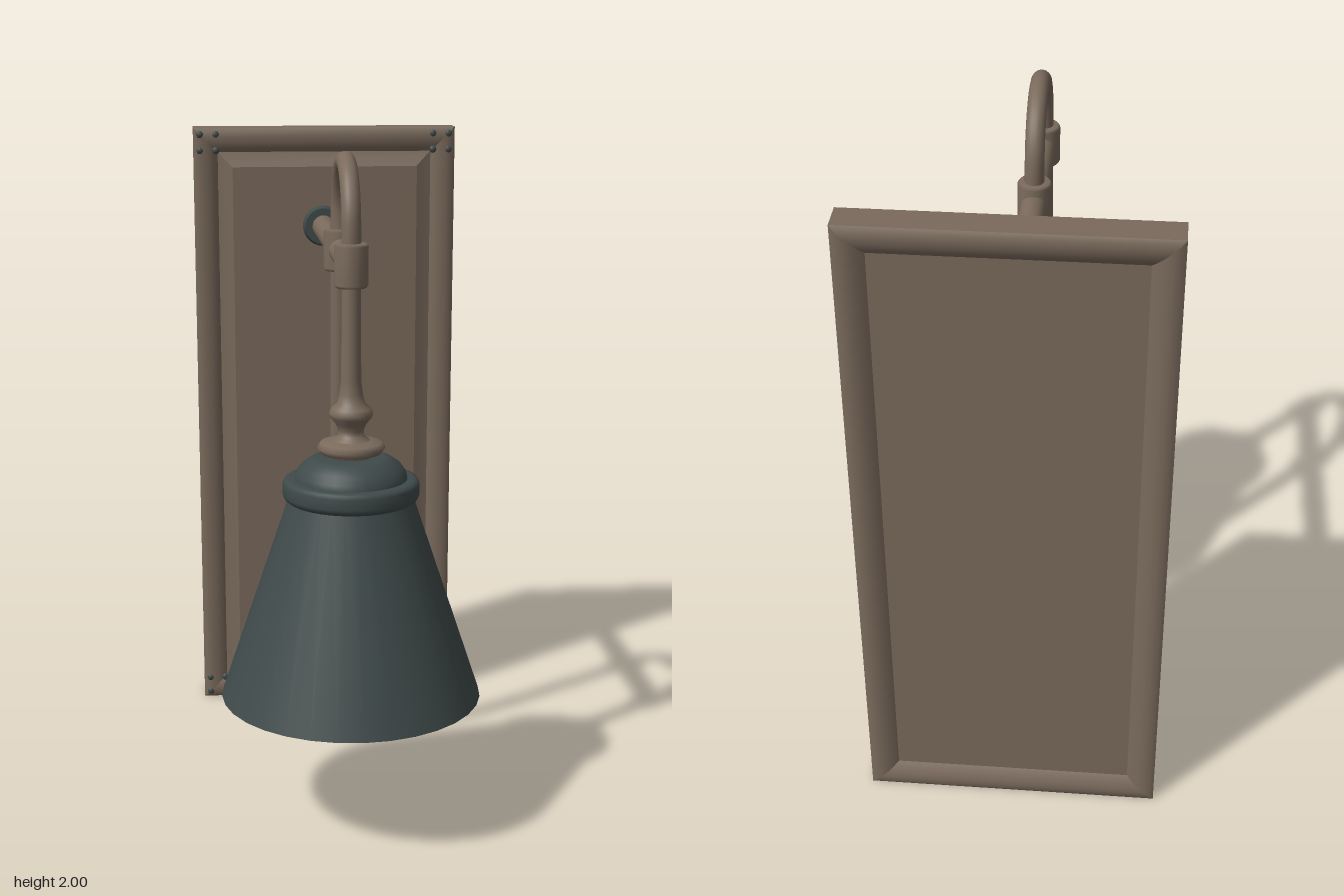
import * as THREE from 'three';

const bronze = new THREE.MeshStandardMaterial({ color: 0x7a6a5c, side: THREE.DoubleSide });
bronze.name = 'bronze';
const slate = new THREE.MeshStandardMaterial({ color: 0x3f4a4a, side: THREE.DoubleSide });
slate.name = 'slate';
const glass = new THREE.MeshStandardMaterial({ color: 0xdcdcdc });
glass.name = 'bulbGlass';

const HALF_W = 0.435, LAMP_Z = 0.355, ARM_Y = 1.677;
const v2 = (pts) => pts.map(([x, y]) => new THREE.Vector2(x, y));

function add(parent, name, geometry, material, x = 0, y = 0, z = 0) {
  const mesh = new THREE.Mesh(geometry, material);
  mesh.name = name;
  mesh.position.set(x, y, z);
  parent.add(mesh);
  return mesh;
}

// Lathe with crisp edges: each run of points is turned separately and stays smooth inside itself
function turned(parent, name, runs, material, z, segments = 32) {
  const group = new THREE.Group();
  group.name = name;
  group.position.z = z;
  runs.forEach((run, i) => add(group, `${name}Section${i + 1}`, new THREE.LatheGeometry(v2(run), segments), material));
  parent.add(group);
  return group;
}

// Four mitred rails sweeping a profile of [inset, z] around the plate outline
function mitredRails(parent, name, profile) {
  const corners = [[-1, 0], [1, 0], [1, 1], [-1, 1]];
  const at = ([sx, top], [inset, z]) => [sx * (HALF_W - inset), top ? 2 - inset : inset, z];
  corners.forEach((a, i) => {
    const b = corners[(i + 1) % 4], pos = [], idx = [];
    profile.forEach((p, j) => {
      pos.push(...at(a, p), ...at(b, p));
      if (j) {
        const k = 2 * j;
        idx.push(k - 2, k - 1, k + 1, k - 2, k + 1, k);
      }
    });
    const g = new THREE.BufferGeometry();
    g.setAttribute('position', new THREE.Float32BufferAttribute(pos, 3));
    g.setIndex(idx);
    g.computeVertexNormals();
    add(parent, `${name}${i + 1}`, g, bronze);
  });
}

function backplate() {
  const plate = new THREE.Group();
  plate.name = 'backplate';
  // Rounded moulding, back lip to front lip
  mitredRails(plate, 'frameBackBead', [[0.083, -0.712], [0.07, -0.722], [0.05, -0.732], [0.03, -0.735], [0.012, -0.733], [0, -0.726]]);
  mitredRails(plate, 'frameSide', [[0, -0.726], [0, -0.64]]);
  mitredRails(plate, 'frameFrontBead', [[0, -0.64], [0.012, -0.632], [0.03, -0.629], [0.05, -0.631], [0.068, -0.638], [0.08, -0.648]]);
  // Recessed panel with a raised centre field
  add(plate, 'panel', new THREE.BoxGeometry(0.73, 1.86, 0.064), bronze, 0, 1, -0.68);
  mitredRails(plate, 'panelBevel', [[0.08, -0.648], [0.1, -0.642], [0.128, -0.63]]);
  add(plate, 'raisedField', new THREE.BoxGeometry(0.614, 1.744, 0.03), bronze, 0, 1, -0.638);
  // Clusters of four studs in the corners
  const stud = new THREE.SphereGeometry(0.012, 12, 8);
  for (const cx of [-0.387, 0.387]) for (const cy of [0.048, 1.952])
    for (const dx of [-0.026, 0.026]) for (const dy of [-0.026, 0.026])
      add(plate, 'cornerStud', stud, slate, cx + dx, cy + dy, -0.633).scale.z = 0.6;
  return plate;
}

function bracket() {
  const group = new THREE.Group();
  group.name = 'bracket';
  // Straight arm from wall to lamp
  const arm = new THREE.CylinderGeometry(0.037, 0.037, 0.98, 24).rotateX(Math.PI / 2);
  add(group, 'arm', arm, bronze, 0, ARM_Y, -0.135);
  // Wall rosettes
  const rosette = new THREE.CylinderGeometry(0.06, 0.07, 0.035, 28).rotateX(Math.PI / 2);
  for (const y of [ARM_Y, 0.285]) add(group, 'rosette', rosette, slate, 0, y, -0.615);
  // Collars where the tubes cross the arm
  const profile = v2([[0, -0.062], [0.043, -0.062], [0.049, -0.054], [0.049, 0.054], [0.043, 0.062], [0, 0.062]]);
  for (const z of [LAMP_Z - 0.007, 0])
    add(group, 'collar', new THREE.LatheGeometry(profile, 24), bronze, 0, ARM_Y, z);
  // Hooped top
  const hoop = [[1.68, 0.348]];
  for (let i = 0; i <= 12; i++) {
    const a = (i / 12) * Math.PI;
    hoop.push([1.775 + 0.177 * Math.sin(a), 0.174 + 0.174 * Math.cos(a)]);
  }
  hoop.push([1.68, 0]);
  // Long brace sweeping back to the wall
  const brace = [[1.68, 0], [1.5, -0.008], [1.2, -0.02], [0.95, -0.032], [0.75, -0.05], [0.6, -0.085],
    [0.47, -0.145], [0.36, -0.235], [0.287, -0.33], [0.268, -0.42], [0.276, -0.52], [0.29, -0.61]];
  const tube = (pts, n) => new THREE.TubeGeometry(
    new THREE.CatmullRomCurve3(pts.map(([y, z]) => new THREE.Vector3(0, y, z))), n, 0.028, 16);
  add(group, 'hoop', tube(hoop, 48), bronze);
  add(group, 'brace', tube(brace, 64), bronze);
  return group;
}

function lamp() {
  const group = new THREE.Group();
  group.name = 'lamp';
  const z = LAMP_Z - 0.005;
  // Stem with turned knop and disc
  turned(group, 'stem', [
    [[0, 1.12], [0.06, 1.125], [0.06, 1.14]],
    [[0.06, 1.138], [0.088, 1.14], [0.098, 1.155], [0.088, 1.17], [0.055, 1.176]],
    [[0.055, 1.176], [0.038, 1.19], [0.036, 1.205], [0.045, 1.225], [0.06, 1.243], [0.063, 1.256], [0.057, 1.27],
      [0.04, 1.285], [0.034, 1.31], [0.029, 1.35], [0.027, 1.64]],
  ], bronze, z, 28);
  // Conical shade: cone, ring and stepped cap
  turned(group, 'shade', [
    [[0.375, 0.405], [0.383, 0.405]],
    [[0.383, 0.405], [0.183, 1.0]],
    [[0.183, 1.0], [0.194, 1.008], [0.198, 1.02], [0.198, 1.05], [0.193, 1.06], [0.182, 1.064], [0.163, 1.064]],
    [[0.163, 1.064], [0.16, 1.08], [0.145, 1.102], [0.12, 1.12], [0.098, 1.128], [0, 1.128]],
    [[0.375, 0.405], [0.176, 0.995], [0.0, 1.0]],
  ], slate, z, 32);
  // Socket and bulb inside the shade
  add(group, 'socket', new THREE.CylinderGeometry(0.07, 0.07, 0.16, 24), slate, 0, 0.92, z);
  turned(group, 'bulb', [[[0, 0.455], [0.06, 0.465], [0.115, 0.496], [0.155, 0.545], [0.175, 0.605], [0.172, 0.66],
    [0.15, 0.72], [0.11, 0.775], [0.075, 0.82], [0.062, 0.86]]], glass, z, 32);
  return group;
}

export function createModel() {
  const model = new THREE.Group();
  model.name = 'wallLamp';
  const fixture = new THREE.Group();
  fixture.name = 'fixture';
  fixture.position.x = -0.008;
  fixture.add(bracket(), lamp());
  model.add(backplate(), fixture);
  return model;
}
